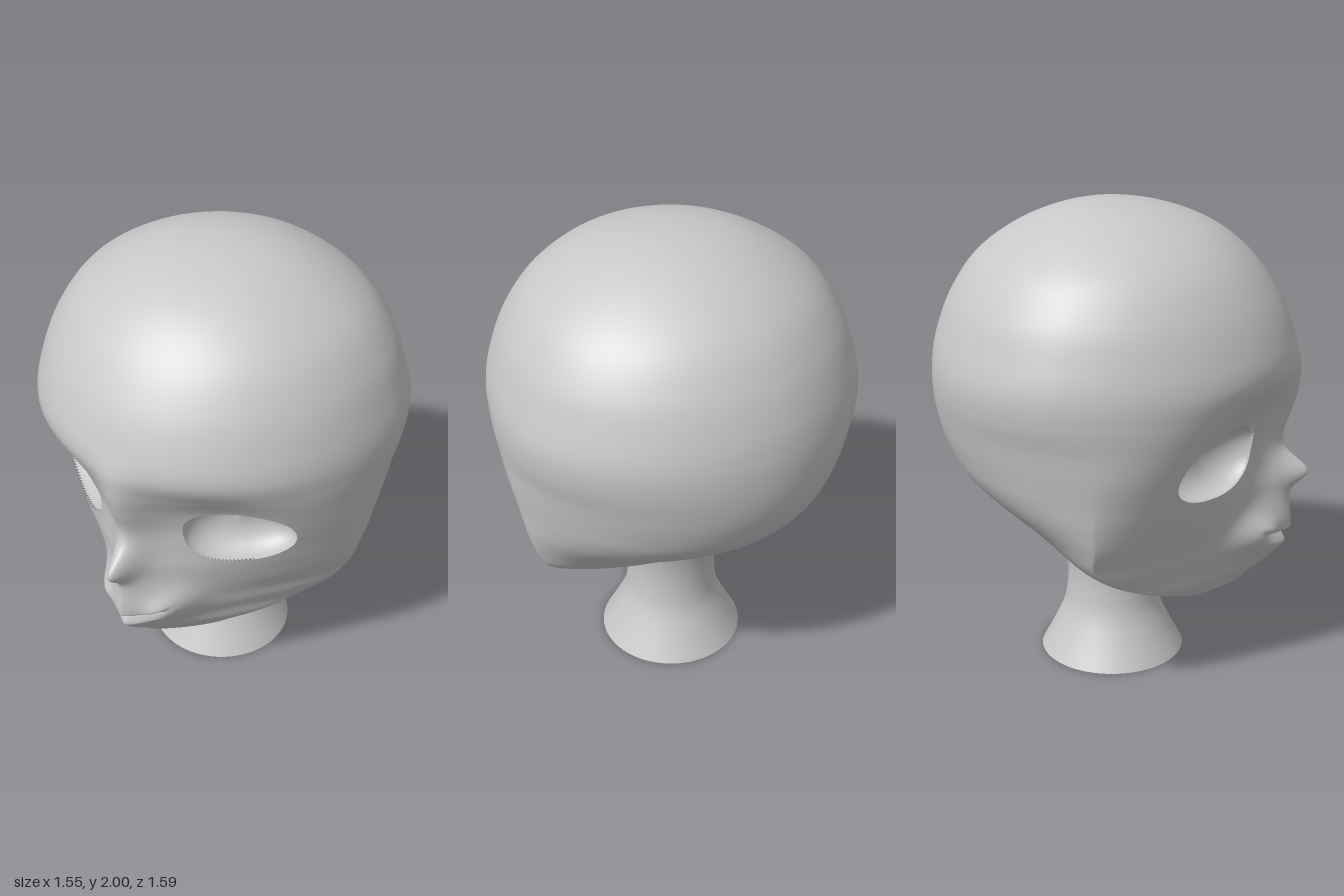
import * as THREE from 'three';

// Head sections from crown to chin: [y, half width, front z, back z, z of widest point]
const ROWS = [
  [2.0, 0, -0.05, -0.05, -0.05], [1.975, 0.225, 0.175, -0.245, -0.05],
  [1.9, 0.415, 0.38, -0.435, -0.05], [1.78, 0.585, 0.535, -0.6, -0.06],
  [1.63, 0.69, 0.645, -0.705, -0.08], [1.48, 0.745, 0.712, -0.765, -0.09],
  [1.36, 0.772, 0.735, -0.79, -0.1], [1.25, 0.77, 0.695, -0.795, -0.08],
  [1.14, 0.752, 0.64, -0.785, -0.04], [1.03, 0.738, 0.603, -0.755, -0.01],
  [0.92, 0.72, 0.605, -0.7, 0], [0.82, 0.705, 0.625, -0.61, 0],
  [0.72, 0.68, 0.64, -0.48, 0], [0.63, 0.64, 0.65, -0.36, -0.01],
  [0.56, 0.59, 0.64, -0.29, 0.03], [0.49, 0.5, 0.605, -0.2, 0.1],
  [0.43, 0.4, 0.575, -0.02, 0.2], [0.38, 0.29, 0.542, 0.1, 0.28],
  [0.345, 0.18, 0.512, 0.2, 0.36], [0.325, 0, 0.44, 0.44, 0.44],
];
const EYE = { x: 0.388, y: 1.02, rx: 0.19, ry: 0.148, n: 2.25 };
const smooth = THREE.MathUtils.smoothstep;
const gauss = (d, s) => Math.exp(-((d / s) ** 2));

// Smooth section at t in 0..1; rows beyond the poles are mirrored to round them off
function section(t) {
  const n = ROWS.length - 1;
  const s = t * n, i = Math.min(Math.floor(s), n - 1), f = s - i;
  const flip = ([y, w, a, b, c]) => [y, -w, b, a, c];
  const row = (k) => (k < 0 ? flip(ROWS[1]) : k > n ? flip(ROWS[n - 1]) : ROWS[k]);
  const [p, q, r, u] = [row(i - 1), row(i), row(i + 1), row(i + 2)];
  return q.map((v, k) => v + 0.5 * f * (r[k] - p[k]
    + f * (2 * p[k] - 5 * v + 4 * r[k] - u[k] + f * (3 * (v - r[k]) + u[k] - p[k]))));
}

// Section at a given height
function sectionAtY(y) {
  let lo = 0, hi = 1;
  for (let i = 0; i < 30; i++) {
    const m = (lo + hi) / 2;
    if (section(m)[0] > y) lo = m; else hi = m;
  }
  return section(lo);
}

// Roundness of a section: 1 is an ellipse, 2 a diamond
const frontPower = (y) => 1 + 0.75 * (1 - smooth(y, 0.5, 1.2));
const backPower = (y) => 1.05 + 0.5 * (1 - smooth(y, 0.45, 0.95));

// Relief of the face: central ridge, brow hollows, nose and mouth
function relief(x, y) {
  const ax = Math.abs(x);
  const width = 0.1 + 0.06 * (1 - smooth(y, 0.62, 0.8));
  let z = 0.085 * gauss(x, width) * smooth(y, 0.34, 0.56) * (1 - smooth(y, 1.1, 1.45));
  z -= 0.045 * gauss(ax - 0.37, 0.17) * gauss(y - 1.16, 0.13);
  z += 0.1 * gauss(x, 0.05) * gauss(y - 0.87, y > 0.87 ? 0.075 : 0.065);
  z += 0.065 * gauss(ax - 0.15, 0.065) * gauss(y - 0.62, 0.07);
  const d = y - (0.59 + 0.045 * (x / 0.16) ** 2);
  const mask = 1 - smooth(ax, 0.11, 0.18);
  const notch = d > 0 ? 1 - smooth(d, 0, 0.016) : Math.max(0, 1 + d / 0.05);
  return z - 0.04 * mask * notch;
}

function frontZ(x, y) {
  const [, w, zf, , zc] = sectionAtY(y);
  const e = frontPower(y);
  const k = Math.max(0, 1 - Math.abs(x / w) ** (2 / e)) ** (e / 2);
  return zc + (zf - zc) * k + relief(x, y);
}

// 1 on the rim of an eye opening, less inside
function eyeRadius(x, y) {
  const a = Math.abs((Math.abs(x) - EYE.x) / EYE.rx), b = Math.abs((y - EYE.y) / EYE.ry);
  return Math.max(1e-4, (a ** EYE.n + b ** EYE.n) ** (1 / EYE.n));
}

// Grid closed around its columns; fn(u, v) gives [x, y, z, removed]
function loft(rows, cols, fn, flip = false) {
  const pos = [], gone = [], index = [];
  for (let i = 0; i <= rows; i++) {
    for (let j = 0; j < cols; j++) {
      const [x, y, z, g] = fn(i / rows, j / cols);
      pos.push(x, y, z);
      gone.push(!!g);
    }
  }
  const tri = (a, b, c) => {
    if (gone[a] && gone[b] && gone[c]) return;
    if (flip) index.push(a, c, b); else index.push(a, b, c);
  };
  for (let i = 0; i < rows; i++) {
    for (let j = 0; j < cols; j++) {
      const k = (j + 1) % cols;
      const a = i * cols + j, b = i * cols + k, c = a + cols, d = b + cols;
      if (i > 0) tri(a, c, b);
      if (i < rows - 1) tri(b, c, d);
    }
  }
  const geo = new THREE.BufferGeometry();
  geo.setAttribute('position', new THREE.Float32BufferAttribute(pos, 3));
  geo.setIndex(index);
  geo.computeVertexNormals();
  return geo;
}

// Head shell; vertices inside an eye opening slide out to its rim
function headPoint(u, v) {
  const s = v * 2 - 1;
  const th = Math.PI * s * (0.5 + 0.5 * Math.abs(s));
  const [y, w, zf, zb, zc] = section(u);
  const sn = Math.sin(th), cs = Math.cos(th);
  const e = cs < 0 ? backPower(y) : frontPower(y);
  const x = w * Math.sign(sn) * Math.abs(sn) ** e;
  const k = Math.abs(cs) ** e;
  if (cs < 0) return [x, y, zc - (zc - zb) * k];
  const r = eyeRadius(x, y);
  if (r < 1) {
    const cx = Math.sign(x) * EYE.x;
    const px = cx + (x - cx) / r, py = EYE.y + (y - EYE.y) / r;
    return [px, py, frontZ(px, py), true];
  }
  return [x, y, zc + (zf - zc) * k + relief(x, y)];
}

// Hollow eye socket, its rim tucked just behind the opening
function socket(side) {
  const depth = 0.14;
  const midZ = frontZ(EYE.x, EYE.y);
  return loft(16, 96, (u, v) => {
    const k = Math.cos(u * Math.PI / 2), push = depth * Math.sin(u * Math.PI / 2);
    const a = v * Math.PI * 2, c = Math.cos(a), s = Math.sin(a);
    const q = 1.015 * (Math.abs(c) ** EYE.n + Math.abs(s) ** EYE.n) ** (-1 / EYE.n);
    const dx = EYE.rx * c * q, dy = EYE.ry * s * q;
    const rimZ = frontZ(EYE.x + dx, EYE.y + dy) - 0.0005;
    return [side * (EYE.x + dx * k - 0.35 * push), EYE.y + dy * k,
      rimZ * k + midZ * (1 - k) - 0.94 * push];
  }, side > 0);
}

export function createModel() {
  const model = new THREE.Group();
  const skin = new THREE.MeshStandardMaterial({ color: 0xc8c8c8, side: THREE.DoubleSide });
  skin.name = 'plain grey';
  const add = (name, geo) => {
    const mesh = new THREE.Mesh(geo, skin);
    mesh.name = name;
    model.add(mesh);
    return mesh;
  };

  add('head', loft(220, 168, headPoint));
  add('leftEyeSocket', socket(1));
  add('rightEyeSocket', socket(-1));

  // Flared neck, open at the bottom
  const profile = new THREE.SplineCurve([
    [0.315, 0], [0.262, 0.1], [0.217, 0.2], [0.2, 0.28], [0.195, 0.38], [0.205, 0.48], [0.23, 0.58],
  ].map(([r, y]) => new THREE.Vector2(r, y)));
  const neck = add('neck', new THREE.LatheGeometry(profile.getPoints(30), 64));
  neck.position.z = -0.042;

  return model;
}
